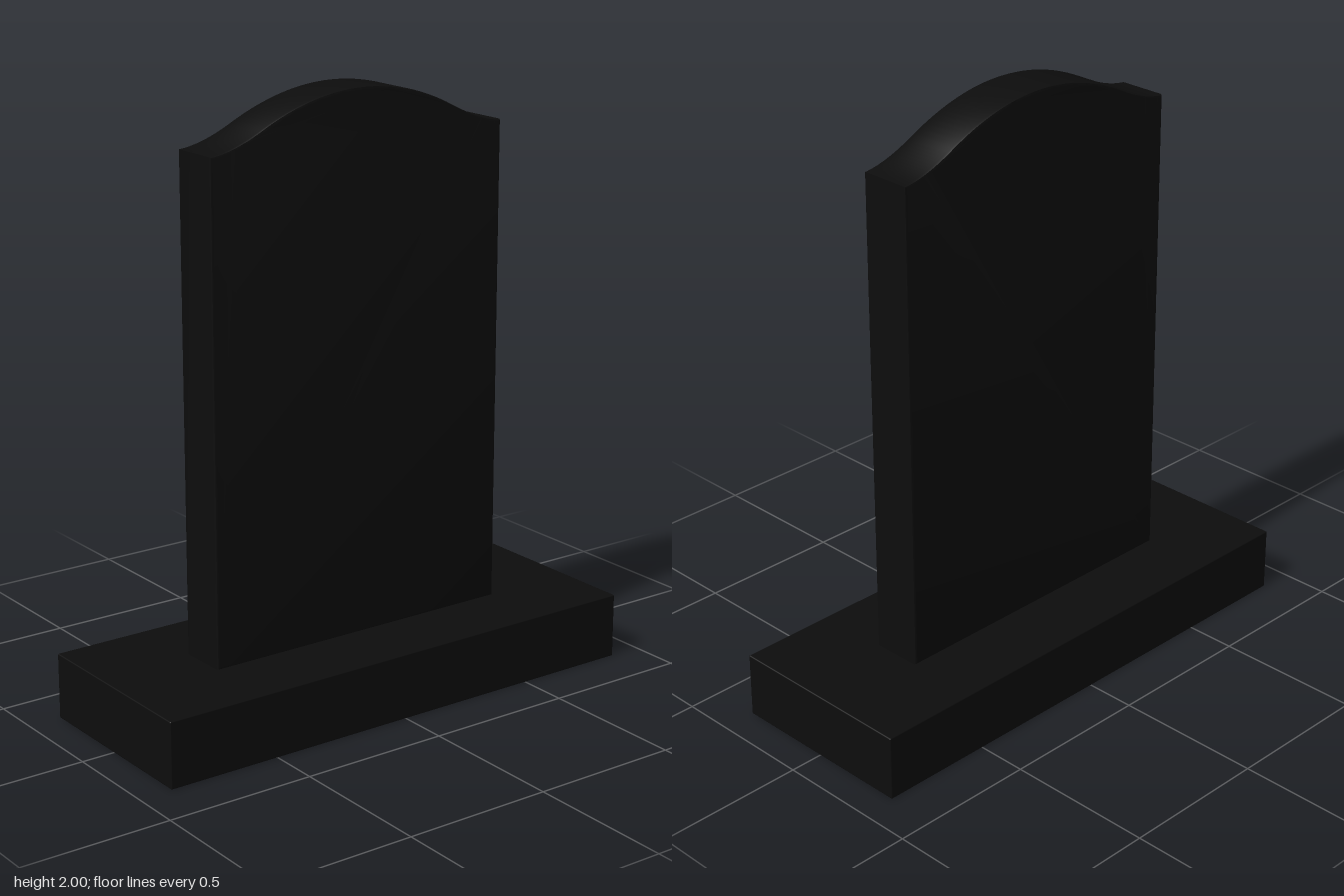
import * as THREE from 'three';
import { toCreasedNormals } from 'three/addons/utils/BufferGeometryUtils.js';
import { RoundedBoxGeometry } from 'three/addons/geometries/RoundedBoxGeometry.js';

const BASE_HEIGHT = 0.22;
const HALF_WIDTH = 0.555;
const THICKNESS = 0.176;
const BEVEL = 0.008;

// Upright slab outline with a serpentine top
function slabShape() {
  const s = new THREE.Shape();
  s.moveTo(-HALF_WIDTH, BASE_HEIGHT);
  s.lineTo(HALF_WIDTH, BASE_HEIGHT);
  s.lineTo(HALF_WIDTH, 1.843);
  s.quadraticCurveTo(0.47, 1.85, 0.36, 1.908);
  s.quadraticCurveTo(0.18, 2, 0, 2);
  s.quadraticCurveTo(-0.18, 2, -0.36, 1.908);
  s.quadraticCurveTo(-0.47, 1.85, -HALF_WIDTH, 1.843);
  s.closePath();
  return s;
}

export function createModel() {
  const model = new THREE.Group();
  model.name = 'headstone';

  const blackGranite = new THREE.MeshStandardMaterial({ color: 0x0d0d0d });
  blackGranite.name = 'black granite';

  // Plinth
  const base = new THREE.Mesh(
    new RoundedBoxGeometry(1.776, BASE_HEIGHT, 0.664, 2, 0.004), blackGranite);
  base.name = 'base';
  base.position.y = BASE_HEIGHT / 2;
  model.add(base);

  // Upright slab with softened edges
  const slabGeometry = new THREE.ExtrudeGeometry(slabShape(), {
    depth: THICKNESS - 2 * BEVEL,
    bevelEnabled: true,
    bevelSize: BEVEL,
    bevelThickness: BEVEL,
    bevelOffset: -BEVEL,
    bevelSegments: 2,
    curveSegments: 16,
  });
  slabGeometry.translate(0, 0, -THICKNESS / 2 + BEVEL);
  const slab = new THREE.Mesh(toCreasedNormals(slabGeometry, 0.5), blackGranite);
  slab.name = 'slab';
  model.add(slab);

  return model;
}
